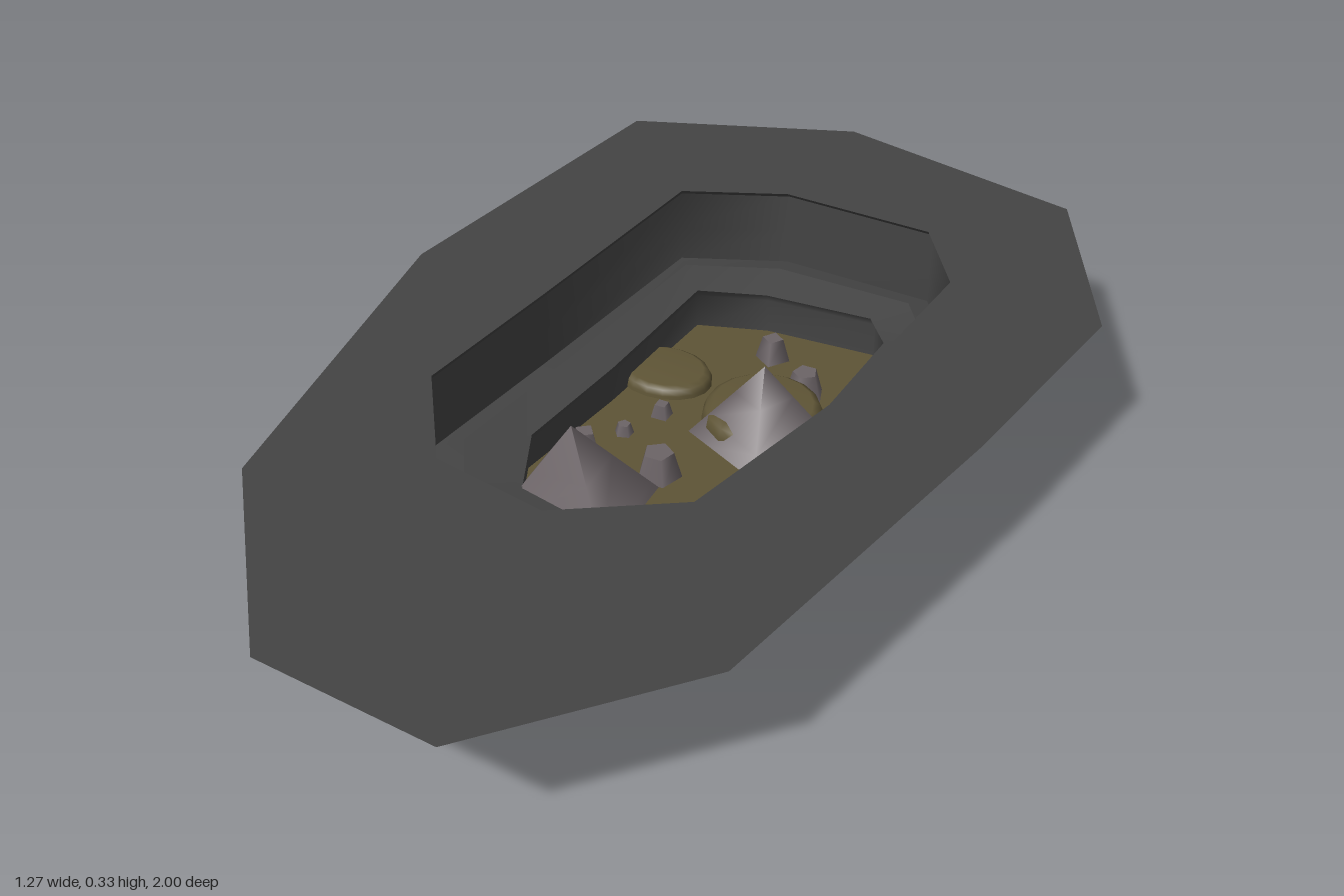
import * as THREE from 'three';

const mat = (name, color, side) => {
  const m = new THREE.MeshStandardMaterial({ color, side });
  m.name = name;
  return m;
};

// Outlines as [x, z], same winding and corner count
const OUTER = [[-0.09, -1], [0.43, -0.9], [0.635, -0.52], [0.575, -0.06], [0.445, 0.655],
  [0.14, 1], [-0.22, 0.97], [-0.525, 0.59], [-0.64, -0.14], [-0.53, -0.825]];
const HOLE = [[-0.1, -0.69], [0.215, -0.685], [0.325, -0.53], [0.295, -0.08], [0.205, 0.31],
  [-0.01, 0.45], [-0.245, 0.41], [-0.39, 0.205], [-0.35, -0.13], [-0.3, -0.6]];
const PIT = [[-0.085, -0.57], [0.14, -0.59], [0.2, -0.52], [0.19, -0.13], [0.115, 0.175],
  [-0.02, 0.265], [-0.19, 0.23], [-0.26, 0.08], [-0.235, -0.19], [-0.22, -0.52]];

const tilt = (z) => 0.32 - 0.008 * z;
const ring = (outline, y) => outline.map(([x, z]) => [x, typeof y === 'function' ? y(z) : y, z]);
const mix = (a, b, t) => a.map(([x, z], i) => [x + (b[i][0] - x) * t, z + (b[i][1] - z) * t]);
const grow = (a, s, cx, cz) => a.map(([x, z]) => [cx + (x - cx) * s, cz + (z - cz) * s]);

// Closed strip through a list of rings
function loft(rings) {
  const n = rings[0].length, index = [];
  for (let r = 0; r < rings.length - 1; r++) {
    for (let i = 0; i < n; i++) {
      const a = r * n + i, b = r * n + (i + 1) % n;
      index.push(a, a + n, b, b, a + n, b + n);
    }
  }
  const g = new THREE.BufferGeometry();
  g.setAttribute('position', new THREE.Float32BufferAttribute(rings.flat(2), 3));
  g.setIndex(index);
  g.computeVertexNormals();
  return g;
}

export function createModel() {
  const group = new THREE.Group();
  const stone = mat('dark stone', 0x444444, THREE.DoubleSide);
  const earth = mat('brown earth', 0x5f5536, THREE.DoubleSide);
  const rock = mat('grey rock', 0x6c6467, THREE.FrontSide);
  const add = (name, geo, material) => {
    const mesh = new THREE.Mesh(geo, material);
    mesh.name = name;
    group.add(mesh);
    return mesh;
  };

  // Wide flat ground around the pit; reversed ring order keeps its front upward
  add('groundCollar', loft([ring(HOLE, tilt), ring(OUTER, tilt)].reverse()), stone);

  // Stepped pit: upper wall, ledge, lower wall
  const wide = grow(HOLE, 1.02, -0.03, -0.1);
  const ledge = mix(HOLE, PIT, 0.28);
  const low = grow(PIT, 1.03, -0.03, -0.15);
  add('upperRim', loft([ring(HOLE, tilt), ring(wide, (z) => tilt(z) - 0.012)]), stone);
  add('upperWall', loft([ring(wide, (z) => tilt(z) - 0.012), ring(wide, 0.23), ring(wide, 0.157)]), stone);
  add('ledgeEdge', loft([ring(wide, 0.157), ring(ledge, 0.165)]), stone);
  add('ledge', loft([ring(ledge, 0.165), ring(PIT, 0.15)]), stone);
  add('lowerWall', loft([ring(PIT, 0.15), ring(low, 0.13), ring(low, 0.045)]), stone);

  // Slightly sloping earth floor
  const floorGeo = new THREE.PlaneGeometry(0.6, 1.02).rotateX(-Math.PI / 2);
  const floor = add('earthFloor', floorGeo, earth);
  floor.position.set(-0.08, 0.066, -0.21);
  floor.rotation.x = -0.028;

  // Low earth mounds with rounded shoulders: x, z, radiusX, radiusZ, top
  const profile = [[1, 0], [1, 0.65], [0.94, 0.88], [0.82, 1], [0, 1]].map(([x, y]) => new THREE.Vector2(x, y));
  const moundGeo = new THREE.LatheGeometry(profile, 18);
  [[0.06, -0.26, 0.12, 0.12, 0.12], [-0.19, -0.32, 0.1, 0.08, 0.09],
    [0.1, 0.17, 0.11, 0.12, 0.095]].forEach(([x, z, rx, rz, top]) => {
    const m = add('earthMound', moundGeo, earth);
    m.position.set(x, 0.04, z);
    m.scale.set(rx, top - 0.04, rz);
  });
  const bank = add('frontBank', new THREE.BoxGeometry(0.28, 0.05, 0.08), earth);
  bank.position.set(-0.03, 0.09, 0.25);

  // Two tall four-sided rocks: x, z, base y, height, half diagonal, turn
  [[-0.13, 0.15, 0, 0.26, 0.235, 0.08], [0.08, -0.22, 0.04, 0.195, 0.17, -0.45]].forEach(
    ([x, z, y, h, r, turn]) => {
      const g = new THREE.ConeGeometry(r, h, 4, 3).translate(0, h / 2, 0);
      const m = add('pointedRock', g, rock);
      m.position.set(x, y, z);
      m.rotation.y = Math.PI / 4 + turn;
    });

  // Small scattered stones: x, z, radius
  [[-0.03, -0.49, 0.036], [0.085, -0.4, 0.042], [-0.13, -0.195, 0.025], [-0.165, -0.105, 0.022],
    [-0.21, -0.03, 0.035], [-0.04, -0.015, 0.05]].forEach(([x, z, r], i) => {
    const m = add('smallStone', new THREE.CylinderGeometry(r * 0.6, r, r * 1.4, 4 + (i % 2)), rock);
    m.position.set(x, 0.065 + r * 0.5, z);
    m.rotation.y = i * 1.1 + 0.2;
  });
  return group;
}
